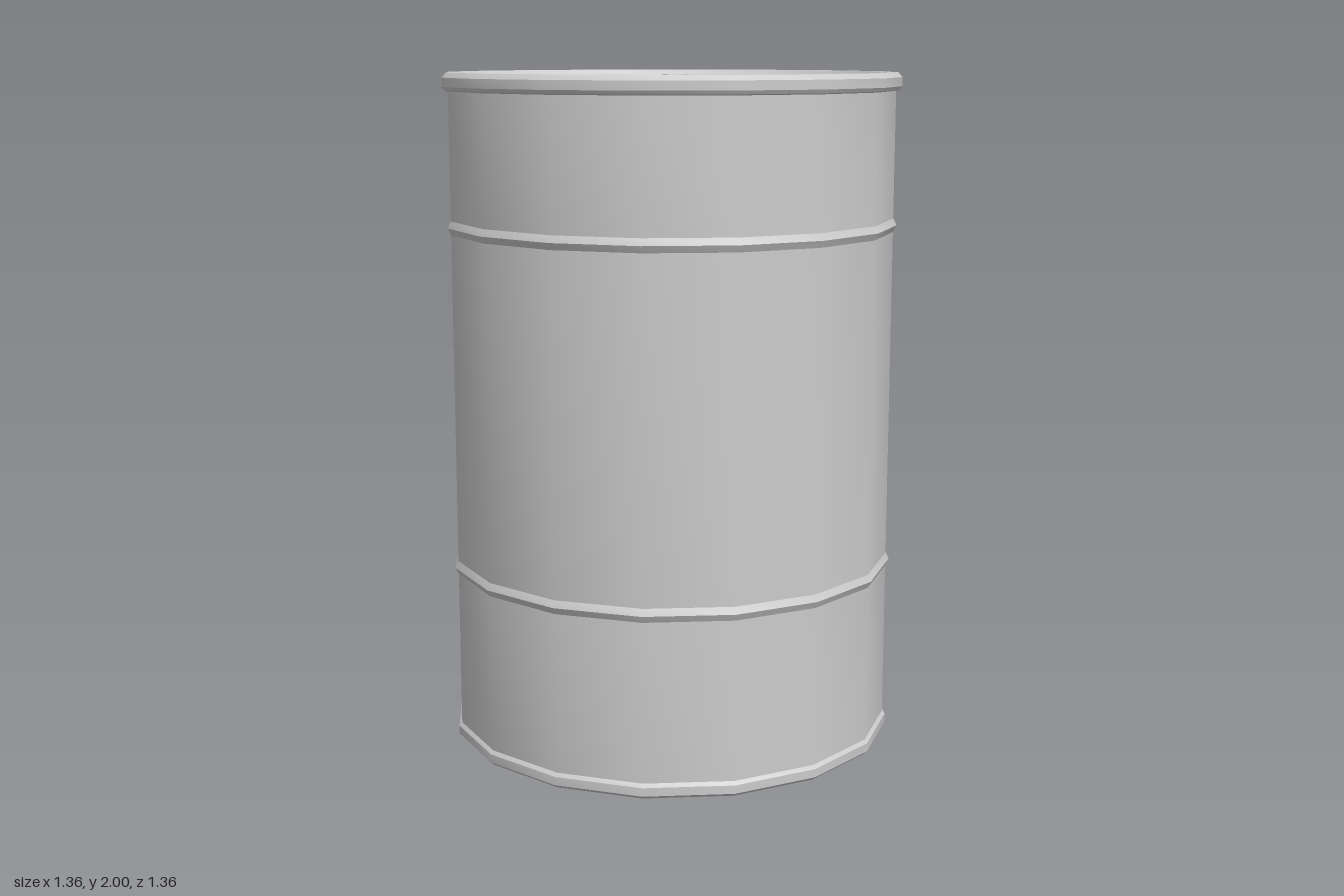
import * as THREE from 'three';
import { toCreasedNormals } from 'three/addons/utils/BufferGeometryUtils.js';

export function createModel() {
  const drum = new THREE.Group();
  drum.name = 'drum';
  const steel = new THREE.MeshStandardMaterial({ color: 0xcccccc });
  steel.name = 'greySteel';

  // Revolve a profile of [radius, height] pairs, smooth around and creased along the profile
  function turned(name, profile, sides, crease) {
    const points = profile.map(([r, y]) => new THREE.Vector2(r, y));
    const geometry = toCreasedNormals(new THREE.LatheGeometry(points, sides), crease);
    const mesh = new THREE.Mesh(geometry, steel);
    mesh.name = name;
    drum.add(mesh);
    return mesh;
  }

  // A shallow rolled rib around the wall
  const rib = (y) => [[0.662, y - 0.02], [0.672, y], [0.662, y + 0.02]];

  // Base with its rolled edge, ribbed wall, top rim and sunken lid
  turned('drumBody', [
    [0, 0], [0.66, 0], [0.671, 0.01], [0.671, 0.035], [0.662, 0.045],
    ...rib(0.535),
    ...rib(1.555),
    [0.662, 1.947], [0.674, 1.95], [0.68, 1.96], [0.68, 1.986], [0.667, 2],
    [0.638, 2], [0.6, 1.957], [0, 1.957],
  ], 16, 0.45);

  // Filler cap near the back of the lid, with a recessed centre
  const cap = turned('fillerCap', [
    [0.075, 0], [0.075, 0.03], [0.055, 0.03], [0.055, 0.02], [0, 0.02],
  ], 32, 0.45);
  cap.position.set(0, 1.957, -0.4);

  return drum;
}
